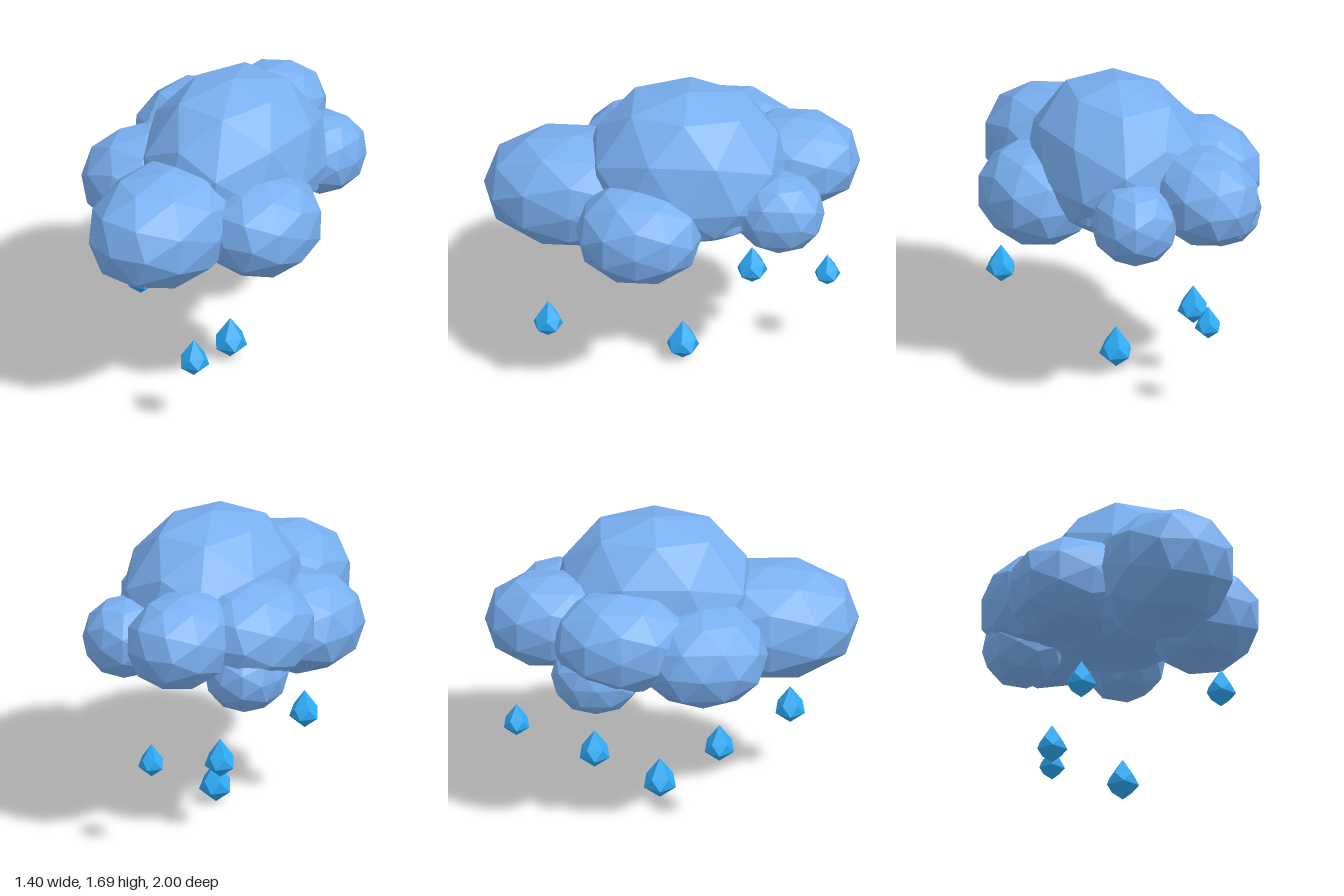
import * as THREE from 'three';

const cloudMaterial = new THREE.MeshStandardMaterial({ color: 0x7ab0f2, flatShading: true });
const dropMaterial = new THREE.MeshStandardMaterial({ color: 0x2cabf8, flatShading: true });

// Cloud puffs: centre, radii, depth below the centre, quarter turns of the facets
const puffs = [
  { name: 'crownPuff', center: [0.03, 1.17, -0.09], radii: [0.455, 0.52, 0.555], under: 0.3, turns: 0 },
  { name: 'cloudBase', center: [0, 1.1, -0.07], radii: [0.46, 0.25, 0.56], under: 0.25, turns: 1 },
  { name: 'frontPuff', center: [0.035, 1.075, 0.52], radii: [0.35, 0.31, 0.48], under: 0.315, turns: 1 },
  { name: 'leftPuff', center: [0.4, 1.03, 0.14], radii: [0.3, 0.27, 0.34], under: 0.27, turns: 1 },
  { name: 'rightFrontPuff', center: [-0.36, 1.06, 0.16], radii: [0.34, 0.27, 0.35], under: 0.26, turns: 0 },
  { name: 'rightBackPuff', center: [-0.36, 1.16, -0.28], radii: [0.31, 0.265, 0.37], under: 0.28, turns: 1 },
  { name: 'rightLowerPuff', center: [-0.41, 0.97, -0.41], radii: [0.21, 0.2, 0.24], under: 0.205, turns: 0 },
  { name: 'backPuff', center: [-0.16, 1.18, -0.65], radii: [0.27, 0.255, 0.35], under: 0.25, turns: 1 },
  { name: 'backLeftPuff', center: [0.24, 1.09, -0.6], radii: [0.22, 0.215, 0.24], under: 0.215, turns: 0 },
];

// Faceted, slightly boxy ellipsoid with its own depth below the centre
function makePuff({ name, center, radii, under, turns }) {
  const geometry = new THREE.IcosahedronGeometry(1, 1);
  geometry.rotateY(turns * Math.PI / 2);
  const power = 2.25;
  const p = geometry.attributes.position;
  for (let i = 0; i < p.count; i++) {
    const v = [p.getX(i), p.getY(i), p.getZ(i)];
    const size = v.reduce((sum, c) => sum + Math.abs(c) ** power, 0) ** (1 / power);
    const [x, y, z] = v.map((c) => c / size);
    p.setXYZ(i, x * radii[0], y * (y < 0 ? under : radii[1]), z * radii[2]);
  }
  geometry.computeVertexNormals();
  const puff = new THREE.Mesh(geometry, cloudMaterial);
  puff.name = name;
  puff.position.set(...center);
  return puff;
}

// Teardrop: an icosahedron standing on a corner, its rings moved to a drop profile
function makeDropGeometry() {
  const geometry = new THREE.IcosahedronGeometry(1, 0);
  geometry.rotateZ(-Math.atan(2 / (1 + Math.sqrt(5))));
  const p = geometry.attributes.position;
  for (let i = 0; i < p.count; i++) {
    const y = p.getY(i);
    const [height, width] =
      y > 0.9 ? [1, 0] : y > 0 ? [0.56, 0.36] : y > -0.9 ? [0.31, 0.43] : [0, 0];
    p.setXYZ(i, p.getX(i) * width, height, p.getZ(i) * width);
  }
  geometry.computeVertexNormals();
  return geometry;
}

export function createModel() {
  const model = new THREE.Group();
  model.name = 'rainCloud';

  const cloud = new THREE.Group();
  cloud.name = 'cloud';
  puffs.forEach((puff) => cloud.add(makePuff(puff)));
  model.add(cloud);

  // Falling drops: x, bottom y, z, height
  const rain = new THREE.Group();
  rain.name = 'rain';
  const dropGeometry = makeDropGeometry();
  const drops = [
    [0.026, 0.0, -0.064, 0.235],
    [0.317, 0.295, 0.635, 0.215],
    [-0.242, 0.325, -0.415, 0.22],
    [-0.333, 0.405, 0.25, 0.215],
    [-0.081, 0.433, -0.83, 0.187],
  ];
  drops.forEach(([x, y, z, height], i) => {
    const drop = new THREE.Mesh(dropGeometry, dropMaterial);
    drop.name = `raindrop${i + 1}`;
    drop.position.set(x, y, z);
    drop.scale.setScalar(height);
    rain.add(drop);
  });
  model.add(rain);

  return model;
}
